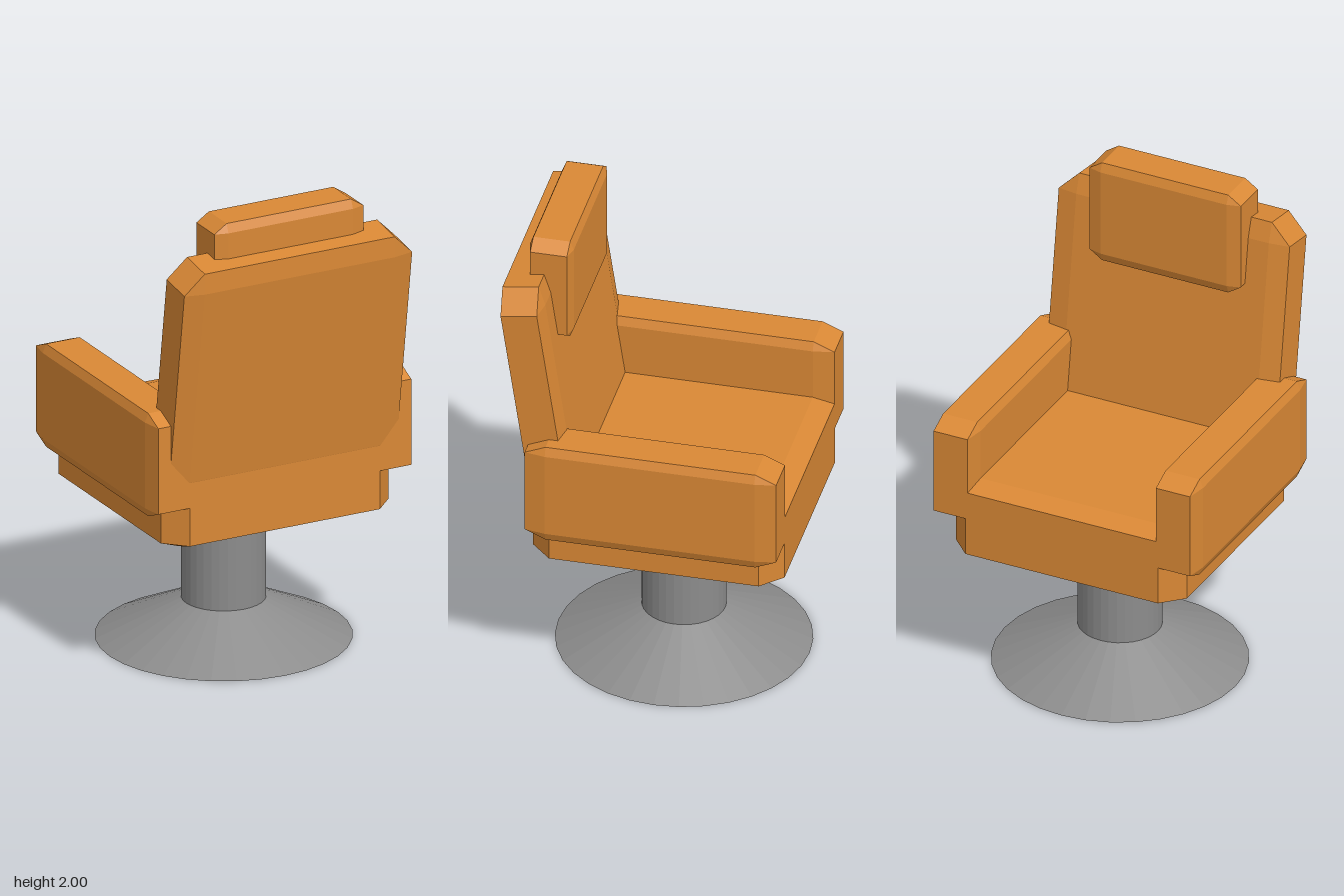
import * as THREE from 'three';
import { ConvexGeometry } from 'three/addons/geometries/ConvexGeometry.js';

const BEVEL = 0.083; // chamfer as a share of each dimension

// Box with every edge and corner chamfered in proportion to its size
function chamferBox(w, h, d) {
  const half = [w / 2, h / 2, d / 2];
  const points = [];
  for (const sx of [-1, 1]) for (const sy of [-1, 1]) for (const sz of [-1, 1]) {
    for (let full = 0; full < 3; full++) {
      const c = [sx, sy, sz].map((s, i) => s * half[i] * (i === full ? 1 : 1 - 2 * BEVEL));
      points.push(new THREE.Vector3(...c));
    }
  }
  return new ConvexGeometry(points);
}

export function createModel() {
  const chair = new THREE.Group();
  chair.name = 'swivelArmchair';

  const leather = new THREE.MeshStandardMaterial({ color: 0xd98835, flatShading: true });
  const metal = new THREE.MeshStandardMaterial({ color: 0xcccccc, flatShading: true });
  metal.color.set(0x8c8c8c);

  function add(name, geometry, material, x, y, z) {
    const mesh = new THREE.Mesh(geometry, material);
    mesh.name = name;
    mesh.position.set(x, y, z);
    chair.add(mesh);
    return mesh;
  }

  const midZ = -0.06; // centre of seat and pedestal; the seat opens towards -z

  // Pedestal: flared foot and column
  add('foot', new THREE.CylinderGeometry(0.17, 0.515, 0.165, 32), metal, 0, 0.0825, midZ);
  add('column', new THREE.CylinderGeometry(0.17, 0.17, 0.5, 32), metal, 0, 0.4, midZ);

  // Seat cushion
  add('seat', chamferBox(1.03, 0.34, 1.03), leather, 0, 0.775, midZ);

  // Armrests
  for (const [name, side] of [['leftArmrest', 1], ['rightArmrest', -1]]) {
    add(name, chamferBox(0.182, 0.44, 1.03), leather, side * 0.496, 0.98, midZ);
  }

  // Reclined backrest
  const back = add('backrest', chamferBox(1.03, 1.03, 0.18), leather, 0, 1.344, 0.43);
  back.rotation.x = THREE.MathUtils.degToRad(8.5);

  // Upright headrest
  add('headrest', chamferBox(0.675, 0.45, 0.18), leather, 0, 1.775, 0.414);

  return chair;
}
